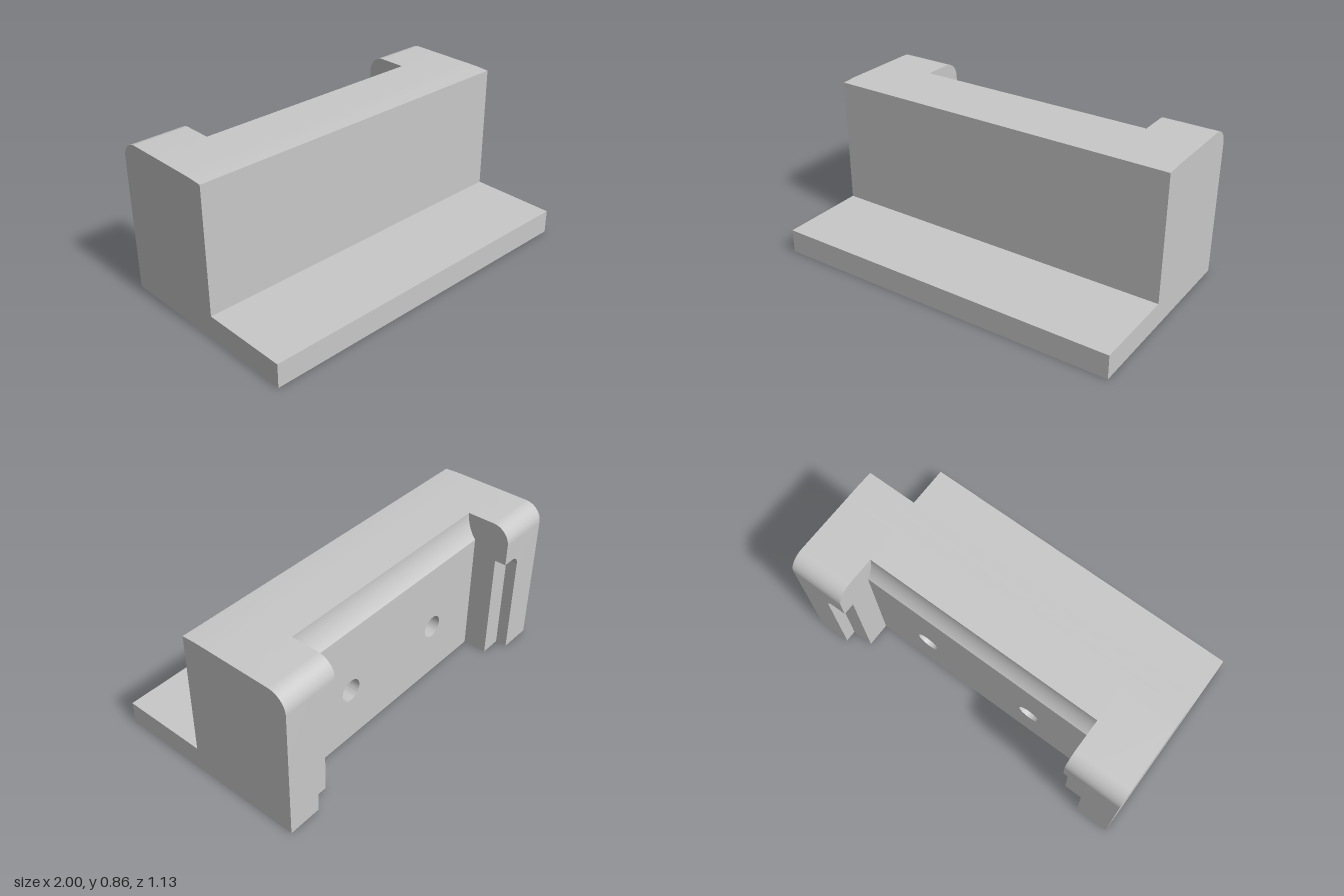
import * as THREE from 'three';
import { toCreasedNormals } from 'three/addons/utils/BufferGeometryUtils.js';

const BACK = -0.565, FRONT = 0.565, WALL = -0.363, MID = -0.115, TOP = 0.857;
const INNER = 0.687, REBATE = 0.81, REBATE_Z = -0.5, REBATE_Y = 0.635;

const lightGray = new THREE.MeshStandardMaterial({ color: 0xc8c8c8 });

function extrude(shape, depth) {
  return new THREE.ExtrudeGeometry(shape, { depth, bevelEnabled: false, curveSegments: 24 });
}

function part(name, geometry) {
  const mesh = new THREE.Mesh(toCreasedNormals(geometry, 0.5), lightGray);
  mesh.name = name;
  return mesh;
}

// Side profile, drawn with -z to the right, swept along x from x0 to x1
function alongX(name, shape, x0, x1) {
  return part(name, extrude(shape, x1 - x0).rotateY(Math.PI / 2).translate(x0, 0, 0));
}

// Front outline swept along z from z0 to z1
function alongZ(name, shape, z0, z1) {
  return part(name, extrude(shape, z1 - z0).translate(0, 0, z0));
}

function polygon(points) {
  return new THREE.Shape(points.map(([a, b]) => new THREE.Vector2(a, b)));
}

// Pillar side profile with a rounded top rear edge, optionally rebated below
function pillarProfile(rebated) {
  const r = 0.1, s = new THREE.Shape();
  s.moveTo(-MID, 0);
  if (rebated) {
    s.lineTo(-REBATE_Z, 0);
    s.lineTo(-REBATE_Z, REBATE_Y);
    s.lineTo(-BACK, REBATE_Y);
  } else {
    s.lineTo(-BACK, 0);
  }
  s.lineTo(-BACK, TOP - r);
  s.absarc(-BACK - r, TOP - r, r, 0, Math.PI / 2, false);
  s.lineTo(-MID, TOP);
  s.closePath();
  return s;
}

export function createModel() {
  const model = new THREE.Group();
  model.name = 'bracketBlock';

  // Front ledge and upright body, with the top dipping slightly at the front
  model.add(alongX('body', polygon([
    [-FRONT, 0], [-MID, 0], [-MID, TOP], [0.02, TOP],
    [-0.067, 0.852], [-0.067, 0.135], [-FRONT, 0.135],
  ]), -1, 1));

  // Recessed rear wall with two blind screw holes
  const wallTop = 0.71;
  const wall = polygon([[-INNER, 0], [INNER, 0], [INNER, wallTop], [-INNER, wallTop]]);
  for (const x of [-0.337, 0.337]) {
    wall.holes.push(new THREE.Path().absarc(x, 0.322, 0.064, 0, Math.PI * 2, true));
  }
  model.add(alongZ('recessWall', wall, WALL, MID));

  // Concave cove along the top of the recess
  const cove = new THREE.Shape();
  const R = 0.23, a = Math.asin((TOP - wallTop) / R);
  cove.moveTo(-MID, wallTop);
  cove.lineTo(-WALL, wallTop);
  cove.absarc(-WALL + R * Math.cos(a), TOP, R, Math.PI + a, Math.PI, true);
  cove.lineTo(-MID, TOP);
  cove.closePath();
  model.add(alongX('cove', cove, -INNER, INNER));

  // Rear pillars, each with an inner rebate that has one rounded corner
  for (const side of [-1, 1]) {
    const pillar = new THREE.Group();
    pillar.name = side > 0 ? 'leftPillar' : 'rightPillar';
    const span = (p, q) => (side > 0 ? [p, q] : [-q, -p]);
    pillar.add(alongX('outerPillar', pillarProfile(false), ...span(REBATE, 1)));
    pillar.add(alongX('rebatedPillar', pillarProfile(true), ...span(INNER, REBATE)));

    const f = 0.055, fillet = new THREE.Shape();
    fillet.moveTo(side * REBATE, REBATE_Y);
    fillet.lineTo(side * REBATE, REBATE_Y - f);
    fillet.absarc(side * (REBATE - f), REBATE_Y - f, f,
      side > 0 ? 0 : Math.PI, Math.PI / 2, side < 0);
    fillet.closePath();
    pillar.add(alongZ('rebateFillet', fillet, BACK, REBATE_Z));
    model.add(pillar);
  }
  return model;
}
